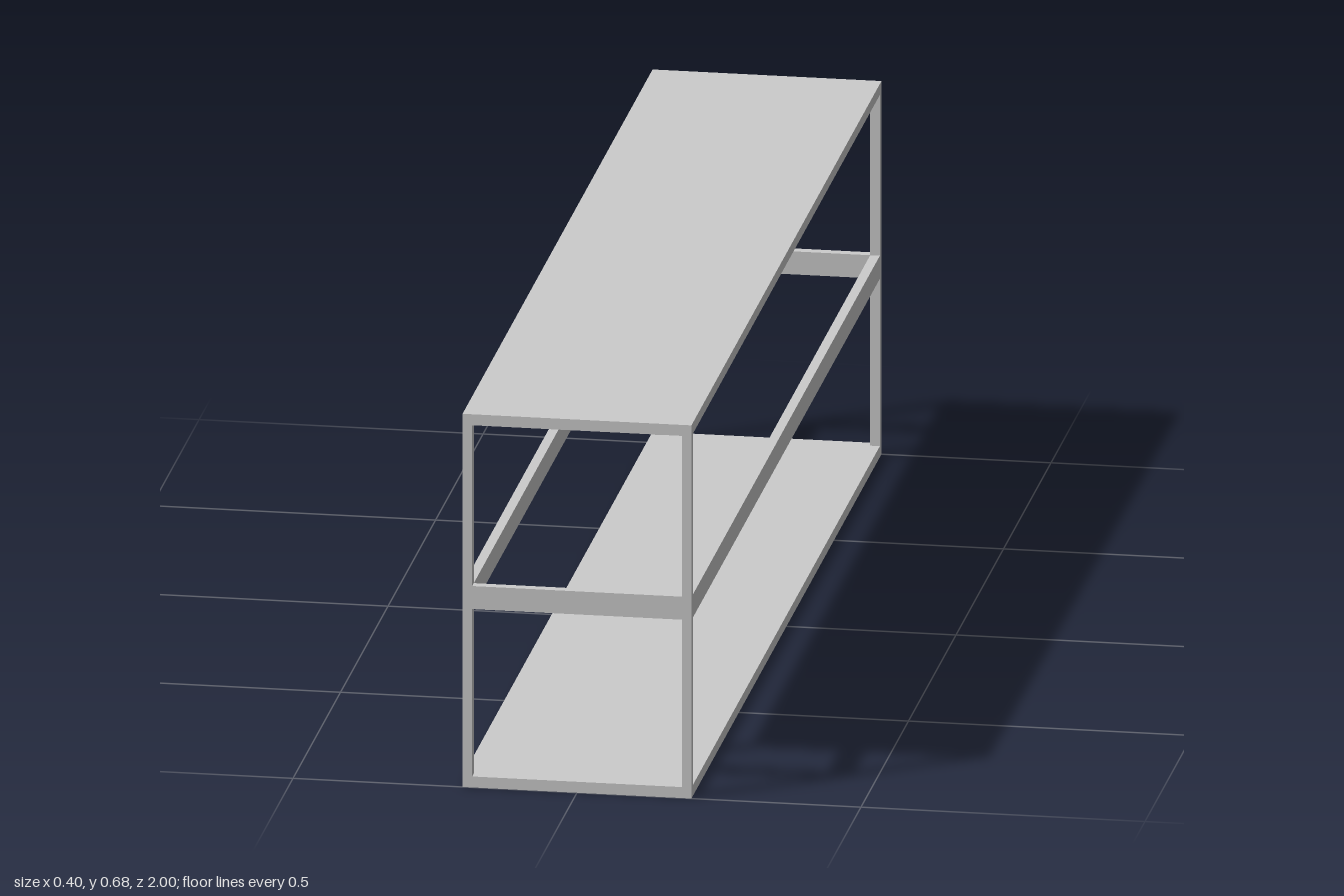
import * as THREE from 'three';

const W = 0.403, L = 2, H = 0.68; // overall width, length, height
const T = 0.017;                  // tube thickness
const SLAB = 0.02;                // shelf thickness
const RAIL_H = 0.042, RAIL_Y = 0.346;

export function createModel() {
  const group = new THREE.Group();
  const material = new THREE.MeshStandardMaterial({ color: 0xcccccc });

  const box = (name, w, h, d, x, y, z) => {
    const mesh = new THREE.Mesh(new THREE.BoxGeometry(w, h, d), material);
    mesh.name = name;
    mesh.position.set(x, y, z);
    group.add(mesh);
  };

  // Full-length shelves
  box('topShelf', W, SLAB, L, 0, H - SLAB / 2, 0);
  box('bottomShelf', W, SLAB, L, 0, SLAB / 2, 0);

  const px = (W - T) / 2, pz = (L - T) / 2;
  for (const s of [-1, 1]) {
    const side = s > 0 ? 'left' : 'right';
    const end = s > 0 ? 'front' : 'back';

    // Corner posts between the shelves
    for (const e of [-1, 1]) {
      box(side + (e > 0 ? 'Front' : 'Back') + 'Post', T, H - 2 * SLAB, T, s * px, H / 2, e * pz);
    }

    // Middle rails, fitted between the posts
    box(side + 'Rail', T, RAIL_H, L - 2 * T, s * px, RAIL_Y, 0);
    box(end + 'Rail', W - 2 * T, RAIL_H, T, 0, RAIL_Y, s * pz);
  }
  return group;
}
